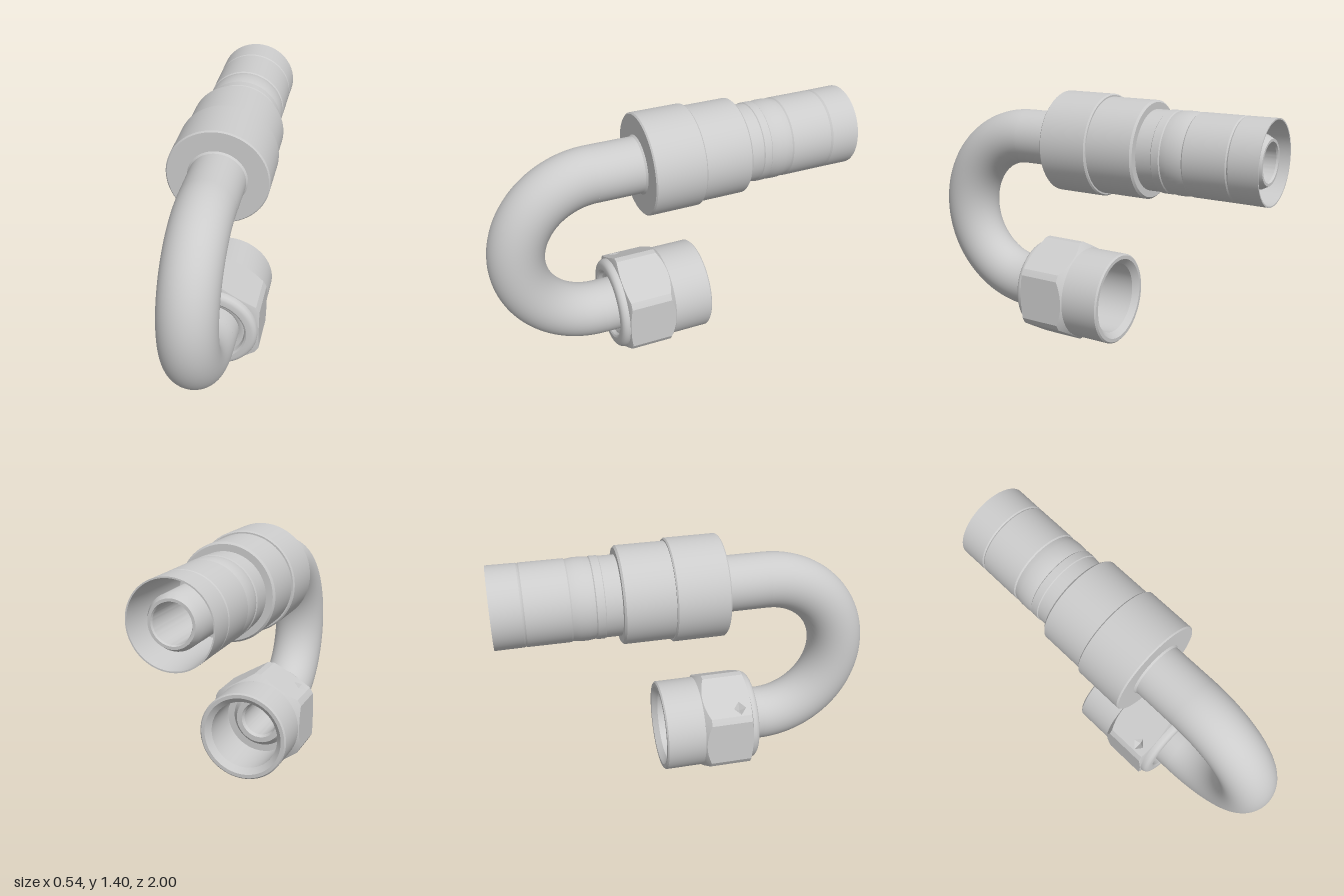
import * as THREE from 'three';
import { toCreasedNormals } from 'three/addons/utils/BufferGeometryUtils.js';

const AXIS_LOW = 0.284, AXIS_HIGH = 1.132, BEND_Z = 0.428;
const BEND_Y = (AXIS_LOW + AXIS_HIGH) / 2, BEND_R = (AXIS_HIGH - AXIS_LOW) / 2;
const FLAT = 0.255, CORNER = 0.284; // hexagon: across-flat radius, rounded-off corner radius

const grey = new THREE.MeshStandardMaterial({
  color: 0xcccccc, metalness: 0, roughness: 0.7, side: THREE.DoubleSide,
});

function addMesh(parent, name, geometry) {
  const mesh = new THREE.Mesh(geometry, grey);
  mesh.name = name;
  parent.add(mesh);
  return mesh;
}

// Turned part along z; profile is a list of [z, radius]
function turned(profile, y) {
  const points = profile.map(([z, r]) => new THREE.Vector2(r, z));
  const geometry = new THREE.LatheGeometry(points, 72).rotateX(Math.PI / 2).translate(0, y, 0);
  return toCreasedNormals(geometry, 0.5);
}

// U-shaped pipe wall of the given radius
function addPipe(parent, name, radius, lowEnd, highEnd) {
  const pipe = new THREE.Group();
  pipe.name = name;
  const bend = new THREE.TorusGeometry(BEND_R, radius, 48, 72, Math.PI);
  bend.rotateZ(Math.PI / 2).rotateY(Math.PI / 2).translate(0, BEND_Y, BEND_Z);
  addMesh(pipe, name + 'Bend', bend);
  addMesh(pipe, name + 'LowerLeg', turned([[lowEnd, radius], [BEND_Z, radius]], AXIS_LOW));
  addMesh(pipe, name + 'UpperLeg', turned([[highEnd, radius], [BEND_Z, radius]], AXIS_HIGH));
  parent.add(pipe);
}

// Ends of the hexagon where the chamfer cones cut it
const backZ = (r) => 0.06 + (r - 0.25) * 0.9;
const frontZ = (r) => 0.33 - (r - 0.25) * 0.35;

// Chamfer cones at both ends and the rounded-off corners
function hexChamfers() {
  const half = Math.acos(FLAT / CORNER), sixth = Math.PI / 3;
  const steps = [];
  for (let i = 0; i <= 12; i++) steps.push(-half + (2 * half * i) / 12);
  steps.push(sixth / 2, sixth - half);
  const positions = [];
  const column = (local, face) => {
    const r = Math.min(CORNER, FLAT / Math.cos(local));
    const a = local + face * sixth;
    return [[0.23, backZ(0.25)], [0.25, backZ(0.25)], [r, backZ(r)],
      [r, frontZ(r)], [0.25, frontZ(0.25)], [0.23, frontZ(0.25)]]
      .map(([rad, z]) => [rad * Math.cos(a), rad * Math.sin(a), z]);
  };
  for (let face = 0; face < 6; face++) {
    for (let i = 0; i < steps.length - 1; i++) {
      const p = column(steps[i], face), q = column(steps[i + 1], face);
      for (let k = 0; k < 5; k++) {
        if (k === 2 && i < 12) continue; // the flats are separate faces
        positions.push(...p[k], ...q[k], ...q[k + 1], ...p[k], ...q[k + 1], ...p[k + 1]);
      }
    }
  }
  const geometry = new THREE.BufferGeometry();
  geometry.setAttribute('position', new THREE.Float32BufferAttribute(positions, 3));
  geometry.translate(0, AXIS_LOW, 0);
  return toCreasedNormals(geometry, 0.4);
}

// One flat of the hexagon, with curved ends
function flatShape() {
  const w = Math.sqrt(CORNER * CORNER - FLAT * FLAT);
  const back = [], front = [];
  for (let i = 0; i <= 12; i++) {
    const u = FLAT * Math.tan(Math.acos(FLAT / CORNER) * (i / 6 - 1));
    const r = Math.min(Math.hypot(u, FLAT), Math.hypot(w, FLAT));
    back.push(new THREE.Vector2(u, backZ(r)));
    front.unshift(new THREE.Vector2(u, frontZ(r)));
  }
  return new THREE.Shape([...back, ...front]);
}

function addHexagon(parent) {
  const hexagon = new THREE.Group();
  hexagon.name = 'hexagon';
  addMesh(hexagon, 'hexChamfers', hexChamfers());
  for (let face = 0; face < 6; face++) {
    const a = (face * Math.PI) / 3;
    const normal = new THREE.Vector3(Math.cos(a), Math.sin(a), 0);
    const along = new THREE.Vector3(-Math.sin(a), Math.cos(a), 0);
    const place = new THREE.Matrix4().makeBasis(along, new THREE.Vector3(0, 0, 1), normal);
    place.setPosition(normal.x * FLAT, normal.y * FLAT + AXIS_LOW, 0);
    const shape = flatShape();
    if (face === 2) {
      // Diamond-shaped punch mark
      const u = 0.078, z = 0.26, du = 0.04, dz = 0.034, depth = 0.03;
      shape.holes.push(new THREE.Path([[u - du, z], [u, z + dz], [u + du, z], [u, z - dz]]
        .map(([x, y]) => new THREE.Vector2(x, y))));
      const notch = new THREE.ConeGeometry(1, depth, 4, 1, true).rotateX(-Math.PI / 2);
      notch.scale(du, dz, 1).translate(u, z, -depth / 2).applyMatrix4(place);
      addMesh(hexagon, 'punchMark', toCreasedNormals(notch, 0.1));
    }
    addMesh(hexagon, 'hexFlat', new THREE.ShapeGeometry(shape).applyMatrix4(place));
  }
  parent.add(hexagon);
}

export function createModel() {
  const model = new THREE.Group();
  model.name = 'hoseFitting';

  // Bent pipe: outer wall and bore
  addPipe(model, 'pipe', 0.148, 0.16, 0.1);
  addPipe(model, 'bore', 0.095, 0.13, -0.97);

  // Swivel nut
  const nut = new THREE.Group();
  nut.name = 'swivelNut';
  addHexagon(nut);
  addMesh(nut, 'nutCollar', turned([
    [0.325, 0.25], [0.345, 0.25], [0.357, 0.245], [0.366, 0.235], [0.37, 0.222],
    [0.37, 0.195], [0.364, 0.185], [0.345, 0.178], [0.345, 0.165], [0.335, 0.146],
  ], AXIS_LOW));
  addMesh(nut, 'nutSleeve', turned([
    [0.12, 0.14], [0.15, 0.165], [0.15, 0.205], [0.11, 0.205], [0.11, 0.192],
    [-0.125, 0.192], [-0.155, 0.222], [-0.155, 0.242], [-0.147, 0.25], [0.08, 0.25],
  ], AXIS_LOW));
  // Sealing end of the pipe inside the nut
  addMesh(nut, 'sealingFace', turned([
    [0.13, 0.095], [0.11, 0.105], [0.11, 0.135], [0.13, 0.15], [0.18, 0.17],
  ], AXIS_LOW));
  model.add(nut);

  // Stepped collar at the upper end of the pipe
  addMesh(model, 'crimpCollar', turned([
    [-0.36, 0.2], [-0.36, 0.243], [-0.35, 0.253], [-0.1, 0.253], [-0.1, 0.261],
    [-0.093, 0.268], [0.171, 0.268], [0.178, 0.261], [0.178, 0.156], [0.188, 0.148],
  ], AXIS_HIGH));

  // Thin hose shell with shallow grooves, open at the back
  addMesh(model, 'hoseShell', turned([
    [-0.48, 0.1], [-0.48, 0.2], [-0.84, 0.2], [-1, 0.206], [-1, 0.213], [-0.85, 0.212],
    [-0.843, 0.208], [-0.836, 0.212], [-0.615, 0.212], [-0.608, 0.207], [-0.6, 0.209],
    [-0.57, 0.213], [-0.53, 0.213], [-0.5, 0.209], [-0.492, 0.207], [-0.487, 0.212],
    [-0.447, 0.212], [-0.443, 0.208], [-0.35, 0.208],
  ], AXIS_HIGH));

  // Hose nipple inside the shell
  addMesh(model, 'hoseNipple', turned([
    [-0.97, 0.095], [-0.98, 0.1], [-0.98, 0.114], [-0.945, 0.132], [-0.48, 0.132],
  ], AXIS_HIGH));

  return model;
}
